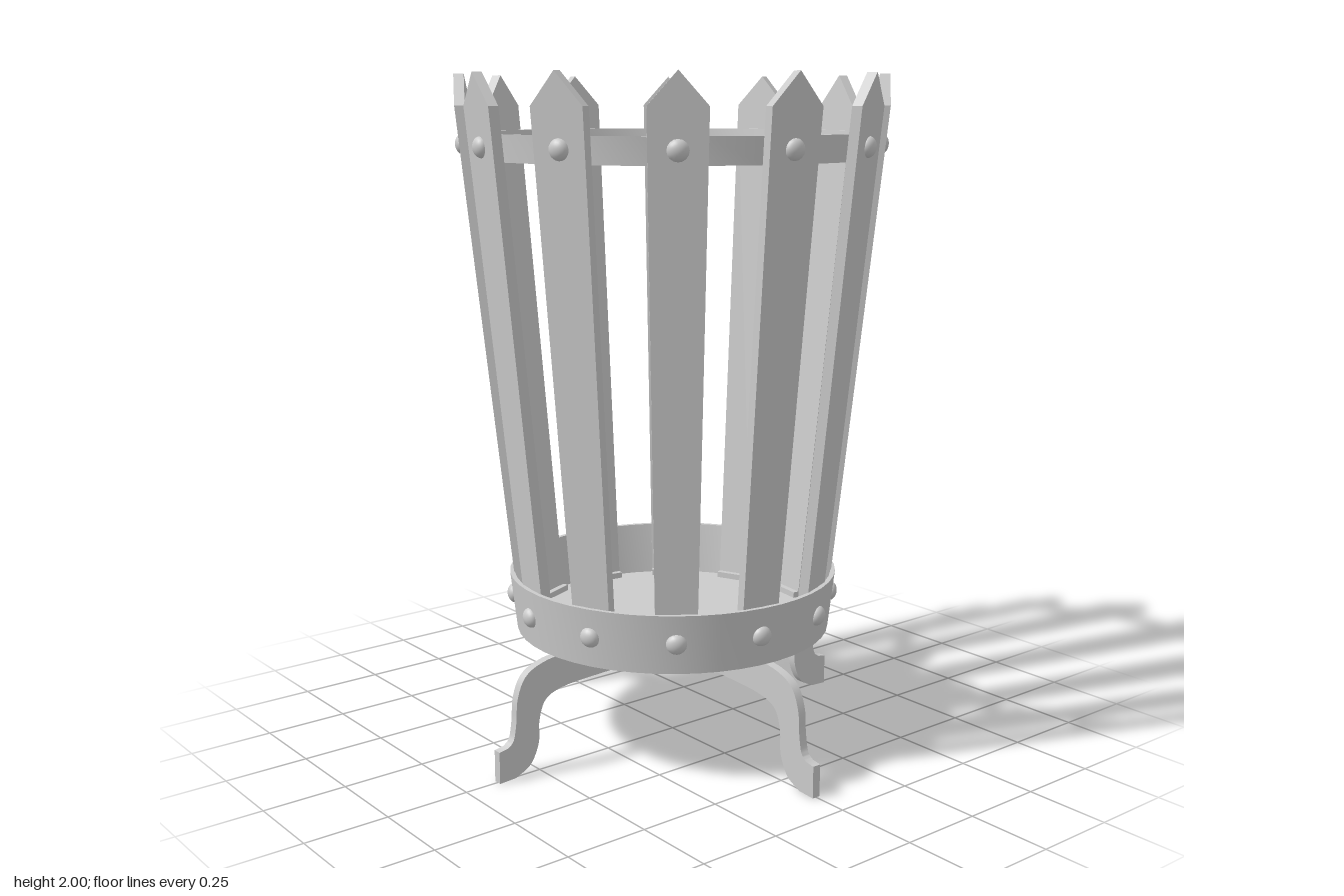
import * as THREE from 'three';
import { toCreasedNormals } from 'three/addons/utils/BufferGeometryUtils.js';

const SLATS = 12;
const SLOPE = 0.1025; // outward lean of the basket wall
const THICK = 0.03;
const slatRadius = (y) => 0.463 + SLOPE * (y - 0.37); // outer face of a slat

export function createModel() {
  const model = new THREE.Group();
  model.name = 'fireBasket';
  const material = new THREE.MeshStandardMaterial({ color: 0xcccccc });

  const add = (geometry, name, parent = model) => {
    const mesh = new THREE.Mesh(geometry, material);
    mesh.name = name;
    parent.add(mesh);
    return mesh;
  };

  // Flared hoop with a thin rectangular section
  const hoop = (rBottom, rTop, y0, y1, t, segments) => {
    const profile = [[rBottom, y0], [rTop, y1], [rTop - t, y1], [rBottom - t, y0], [rBottom, y0]];
    const points = profile.map(([x, y]) => new THREE.Vector2(x, y));
    return toCreasedNormals(new THREE.LatheGeometry(points, segments), 0.6);
  };

  add(hoop(0.475, 0.495, 0.355, 0.53, 0.014, 48), 'lowerBand');
  add(hoop(0.576, 0.584, 1.76, 1.835, 0.014, 24), 'upperRing');

  // Floor plate
  const floor = add(new THREE.CylinderGeometry(0.466, 0.466, 0.014, 48), 'floor');
  floor.position.y = 0.363;

  // Pointed slat, sheared outward to follow the flare
  const outline = [[-0.0575, 0.37], [0.0575, 0.37], [0.08, 1.91], [0, 2], [-0.08, 1.91]];
  const slatGeometry = new THREE.ExtrudeGeometry(
    new THREE.Shape(outline.map(([x, y]) => new THREE.Vector2(x, y))),
    { depth: THICK, bevelEnabled: false });
  const pos = slatGeometry.attributes.position;
  for (let i = 0; i < pos.count; i++) {
    pos.setZ(i, pos.getZ(i) - THICK + slatRadius(pos.getY(i)));
  }
  slatGeometry.computeVertexNormals();

  // Small lip at the foot of each slat
  const lipGeometry = new THREE.BoxGeometry(0.115, 0.018, 0.03);

  // Domed rivet head facing +z
  const rivetGeometry = new THREE.SphereGeometry(0.03, 16, 8, 0, Math.PI * 2, 0, Math.PI / 2);
  rivetGeometry.rotateX(Math.PI / 2);
  rivetGeometry.scale(1, 1, 0.75);

  for (let i = 0; i < SLATS; i++) {
    const stave = new THREE.Group();
    stave.name = 'stave' + (i + 1);
    add(slatGeometry, 'slat', stave);
    add(lipGeometry, 'slatFoot', stave).position.set(0, 0.379, 0.432);
    const upper = add(rivetGeometry, 'upperRivet', stave);
    upper.position.set(0, 1.8, slatRadius(1.8) - 0.002);
    const lower = add(rivetGeometry, 'lowerRivet', stave);
    lower.position.set(0, 0.445, 0.483);
    upper.rotation.x = lower.rotation.x = Math.atan(SLOPE);
    stave.rotation.y = THREE.MathUtils.degToRad(-7.5 + (360 / SLATS) * i);
    model.add(stave);
  }

  // Crossed legs: half profile (top edge outward, then lower edge back), mirrored
  const curve = (pts, n) =>
    new THREE.CatmullRomCurve3(pts.map(([x, y]) => new THREE.Vector3(x, y, 0)))
      .getPoints(n).map((p) => new THREE.Vector2(p.x, p.y));
  const half = [
    ...curve([[0, 0.354], [0.27, 0.347], [0.48, 0.335], [0.55, 0.303], [0.58, 0.24],
      [0.586, 0.17], [0.598, 0.115], [0.615, 0.1]], 32),
    new THREE.Vector2(0.645, 0.095),
    new THREE.Vector2(0.645, 0),
    ...curve([[0.59, 0.003], [0.54, 0.03], [0.51, 0.09], [0.506, 0.16], [0.485, 0.215],
      [0.44, 0.238], [0.25, 0.252], [0, 0.258]], 32),
  ];
  const mirrored = half.slice(1, -1).reverse().map((p) => new THREE.Vector2(-p.x, p.y));
  const legGeometry = new THREE.ExtrudeGeometry(new THREE.Shape([...half, ...mirrored]),
    { depth: 0.026, bevelEnabled: false });
  legGeometry.translate(0, 0, -0.013);
  const legs = toCreasedNormals(legGeometry, 0.6);
  add(legs, 'sideLegs');
  add(legs, 'frontBackLegs').rotation.y = Math.PI / 2;

  return model;
}
